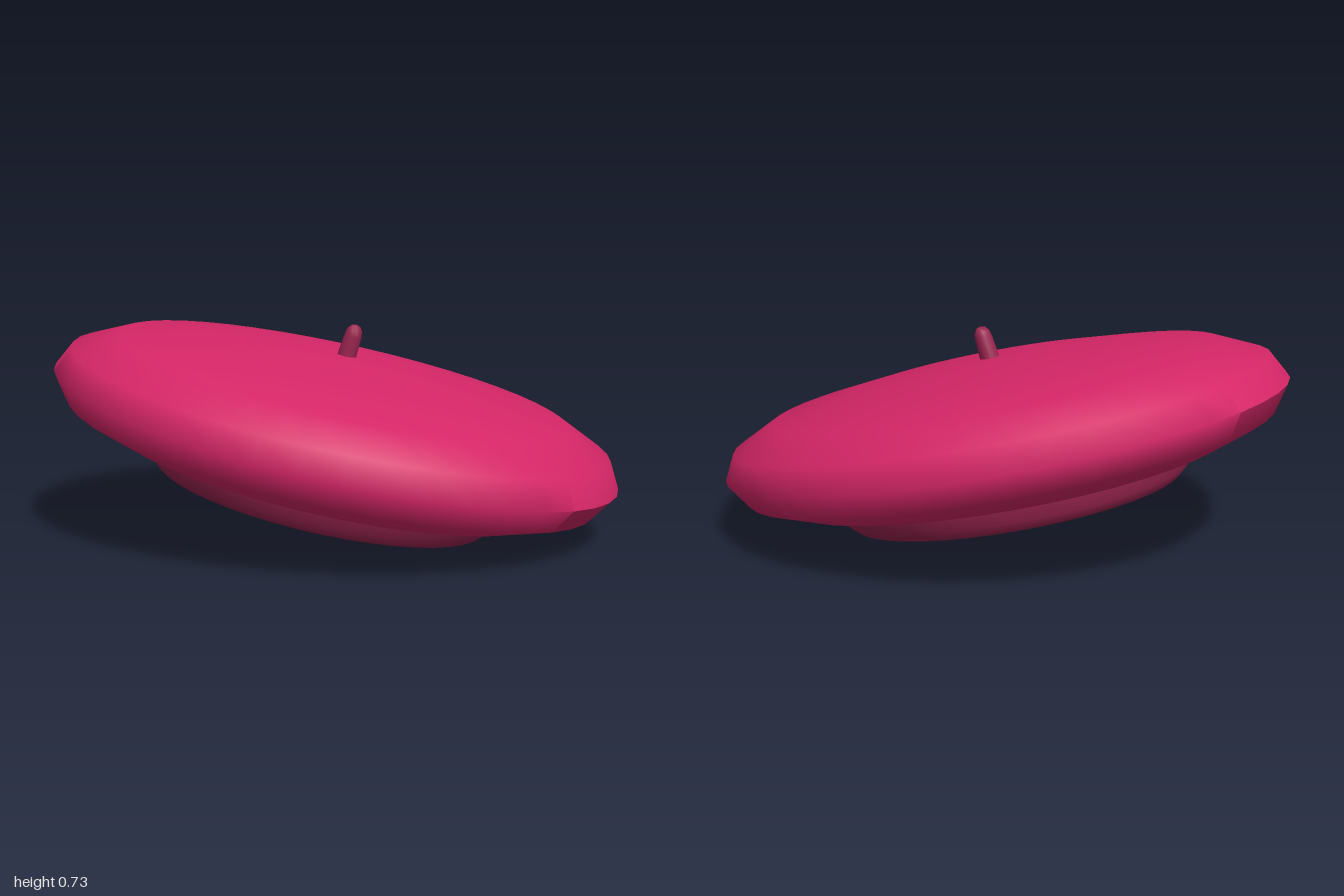
import * as THREE from 'three';
import { toCreasedNormals } from 'three/addons/utils/BufferGeometryUtils.js';

const DEPTH = 0.86; // front-to-back squash of the oval
const TILT = -0.21;

export function createModel() {
  const felt = new THREE.MeshStandardMaterial({ color: 0xd42666 });
  felt.name = 'pinkFelt';
  const trim = new THREE.MeshStandardMaterial({ color: 0x9a244f });
  trim.name = 'darkTrim';

  // Turned part from [radius, height] pairs, listed bottom to top
  function turned(name, profile, segments, material, depth = 1) {
    const points = profile.map(([r, y]) => new THREE.Vector2(r, y));
    const geometry = new THREE.LatheGeometry(points, segments, Math.PI / 2);
    geometry.scale(1, 1, depth);
    geometry.computeVertexNormals();
    const mesh = new THREE.Mesh(toCreasedNormals(geometry, Math.PI / 3), material);
    mesh.name = name;
    return mesh;
  }

  const hat = new THREE.Group();
  hat.name = 'beret';
  hat.rotation.z = TILT;
  hat.position.y = 0.385;

  // Wide soft crown with a folded rim
  hat.add(turned('crown', [
    [0, -0.18], [0.645, -0.17], [0.808, -0.153], [0.961, -0.092], [1.022, 0],
    [0.974, 0.089], [0.814, 0.164], [0.506, 0.208], [0.24, 0.235], [0, 0.243],
  ], 44, felt, DEPTH));

  // Head band, closed underneath
  hat.add(turned('headBand', [
    [0, -0.266], [0.6, -0.266], [0.637, -0.23], [0.649, -0.165],
  ], 44, trim, DEPTH));

  // Round-tipped stem, leaning a little further than the crown
  const stem = turned('stem', [
    [0.036, -0.03], [0.031, 0.08], [0.027, 0.1], [0.016, 0.115], [0, 0.12],
  ], 12, trim);
  stem.position.set(-0.005, 0.236, 0);
  stem.rotation.z = -0.1;
  hat.add(stem);

  const model = new THREE.Group();
  model.name = 'beretModel';
  model.add(hat);
  return model;
}
